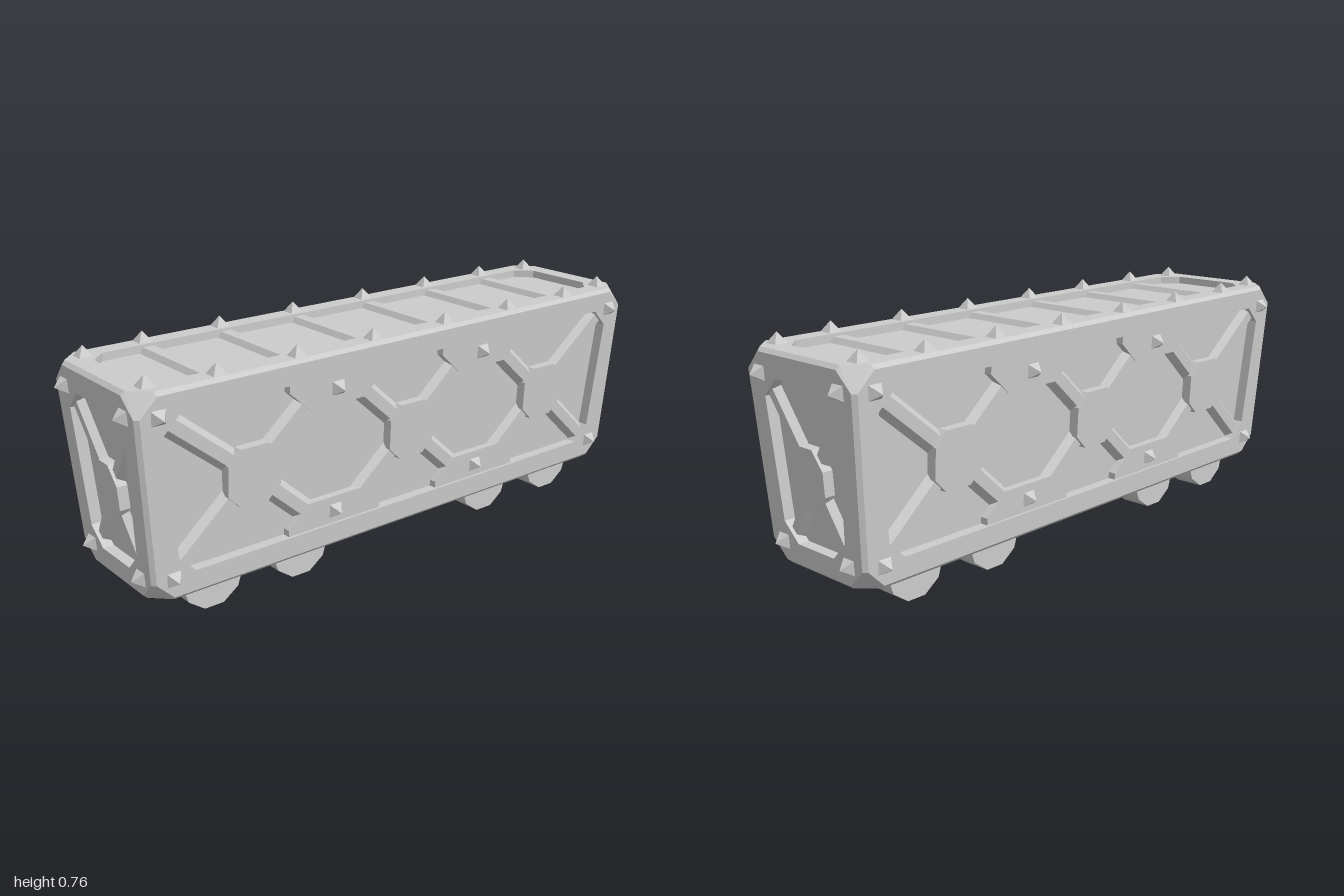
import * as THREE from 'three';
import { ConvexGeometry } from 'three/addons/geometries/ConvexGeometry.js';

const Y0 = 0.09, Y1 = 0.725, EDGE = 0.012, CUT = 0.055;
const DEPTH = 0.035, ROOF_DEPTH = 0.025;
const taper = (y) => (y - Y0) / (Y1 - Y0);
const halfW = (y) => 0.21 + 0.033 * taper(y);
const halfL = (y) => 0.93 + 0.04 * taper(y);
const V = (x, y, z) => new THREE.Vector3(x, y, z);

// Each face maps (across, up, depth below surface) to a point on the tapered body
const endFace = (u, v, d) => V(u, v, halfL(v) - d);
const sideFace = (u, v, d) => V(halfW(v) - d, v, -u);
const roofFace = (u, v, d) => V(u, Y1 - d, -v);

const mat = new THREE.MeshStandardMaterial({ color: 0xcccccc, flatShading: true });
const smooth = new THREE.MeshStandardMaterial({ color: 0xcccccc });

// Octagon with cut corners, half widths b at the bottom and t at the top
function octagon(b, t, v0, v1, k, u = 0) {
  return [[-b + k, v0], [b - k, v0], [b, v0 + k], [t, v1 - k],
    [t - k, v1], [-t + k, v1], [-t, v1 - k], [-b, v0 + k]].map(([x, y]) => [x + u, y]);
}

// Strip of wall from a to b, h is the half width
function strip([au, av], [bu, bv], h) {
  const len = Math.hypot(bu - au, bv - av);
  const pu = -(bv - av) / len * h, pv = (bu - au) / len * h;
  return [[au - pu, av - pv], [bu - pu, bv - pv], [bu + pu, bv + pv], [au + pu, av + pv]];
}

// Skins rings of [loop, depth] and caps the last one
function loft(face, rings) {
  const loops = rings.map(([loop, d]) => loop.map(([u, v]) => face(u, v, d)));
  const pts = [], n = loops[0].length;
  for (let r = 0; r + 1 < loops.length; r++) {
    for (let i = 0; i < n; i++) {
      const j = (i + 1) % n, a = loops[r], b = loops[r + 1];
      pts.push(a[i], a[j], b[j], a[i], b[j], b[i]);
    }
  }
  const cap = loops[loops.length - 1];
  for (let i = 1; i + 1 < n; i++) pts.push(cap[0], cap[i], cap[i + 1]);
  const geo = new THREE.BufferGeometry().setFromPoints(pts);
  geo.computeVertexNormals();
  return geo;
}

function add(parent, name, geo, material = mat) {
  const mesh = new THREE.Mesh(geo, material);
  mesh.name = name;
  parent.add(mesh);
  return mesh;
}

function normalOf(face, v) {
  const p = face(0, v, 0);
  return face(0.1, v, 0).sub(p).cross(face(0, v + 0.1, 0).sub(p)).normalize();
}

// Square pyramid stud standing on a face
function spike(parent, face, u, v, d = 0) {
  const geo = new THREE.ConeGeometry(0.0325, 0.035, 4);
  geo.rotateY(Math.PI / 4);
  geo.translate(0, 0.0155, 0);
  const mesh = add(parent, 'spike', geo);
  mesh.position.copy(face(u, v, d));
  mesh.quaternion.setFromUnitVectors(V(0, 1, 0), normalOf(face, v));
}

function brace(parent, face, a, b, h) {
  add(parent, 'brace', loft(face, [[strip(a, b, h), DEPTH], [strip(a, b, h * 0.5), 0.012]]));
}

const yLow = Y0 + EDGE, yHigh = Y1 - EDGE;
const outline = (half) => octagon(half(yLow + CUT) - EDGE, half(yHigh - CUT) - EDGE, yLow, yHigh, CUT);
const endOuter = outline(halfW), sideOuter = outline(halfL);
const rw = halfW(Y1) - EDGE, rl = halfL(Y1) - EDGE;
const roofOuter = octagon(rw, rw, -rl, rl, CUT);

// Bevelled edges, cut corners and floor: hull of the face outlines without the panel faces
function shellGeometry() {
  const pts = roofOuter.map(([u, v]) => roofFace(u, v, 0));
  const bw = halfW(Y0) - EDGE, bl = halfL(Y0) - EDGE;
  octagon(bw, bw, -bl, bl, CUT).forEach(([x, z]) => pts.push(V(x, Y0, z)));
  const normals = [V(0, 1, 0)];
  for (const [face, loop] of [[endFace, endOuter], [sideFace, sideOuter]]) {
    const n = normalOf(face, 0.4);
    normals.push(n, V(-n.x, n.y, -n.z));
    for (const [u, v] of loop) {
      const p = face(u, v, 0);
      pts.push(p, V(-p.x, p.y, -p.z));
    }
  }
  const pos = new ConvexGeometry(pts).getAttribute('position');
  const kept = [], tri = new THREE.Triangle(), n = V(0, 0, 0);
  for (let i = 0; i < pos.count; i += 3) {
    tri.setFromAttributeAndIndices(pos, i, i + 1, i + 2);
    tri.getNormal(n);
    if (!normals.some((m) => m.dot(n) > 0.995)) kept.push(tri.a.clone(), tri.b.clone(), tri.c.clone());
  }
  const geo = new THREE.BufferGeometry().setFromPoints(kept);
  geo.computeVertexNormals();
  return geo;
}

function endPanel() {
  const g = new THREE.Group();
  const hole = octagon(0.137, 0.16, 0.165, 0.645, 0.057);
  add(g, 'endFrame', loft(endFace, [[endOuter, 0], [hole, 0], [hole, DEPTH]]));
  const hub = octagon(0.067, 0.067, 0.283, 0.467, 0.04)
    .map(([u, v]) => [u, Math.abs(u) > 0.05 ? 0.375 + (v - 0.375) * 0.7 : v]);
  add(g, 'endHub', loft(endFace, [[hub, DEPTH], [hub, 0.002]]));
  for (const s of [-1, 1]) {
    brace(g, endFace, [0, 0.375], [s * 0.155, 0.61], 0.026);
    brace(g, endFace, [0, 0.375], [s * 0.117, 0.185], 0.026);
    spike(g, endFace, s * 0.174, 0.653);
    spike(g, endFace, s * 0.147, 0.16);
  }
  return g;
}

function sidePanel() {
  const g = new THREE.Group(), hubY = 0.406;
  const hole = octagon(0.85, 0.885, 0.166, 0.652, 0.055);
  add(g, 'sideFrame', loft(sideFace, [[sideOuter, 0], [hole, 0], [hole, DEPTH]]));
  for (const u of [-0.594, 0, 0.594]) {
    const hub = octagon(0.09, 0.09, hubY - 0.091, hubY + 0.091, 0.043, u);
    add(g, 'sideHub', loft(sideFace, [[hub, DEPTH], [hub, 0.002]]));
  }
  for (const s of [-1, 1]) {
    // Tabs that carry the middle spikes
    const c = s * 0.295;
    const upper = [[c - 0.1, 0.557], [c + 0.1, 0.557], [c + 0.175, 0.625],
      [c + 0.175, 0.66], [c - 0.175, 0.66], [c - 0.175, 0.625]];
    const lower = upper.map(([u, v]) => [u, 0.812 - v]).reverse();
    for (const tab of [upper, lower]) add(g, 'spikeTab', loft(sideFace, [[tab, DEPTH], [tab, 0.009]]));
    spike(g, sideFace, c, 0.608, 0.009);
    spike(g, sideFace, c, 0.207, 0.009);
    // Diagonal braces
    for (const y of [0.6, 0.212]) {
      brace(g, sideFace, [0, hubY], [s * 0.215, y], 0.036);
      brace(g, sideFace, [s * 0.594, hubY], [s * 0.379, y], 0.036);
    }
    brace(g, sideFace, [s * 0.594, hubY], [s * 0.86, 0.625], 0.036);
    brace(g, sideFace, [s * 0.594, hubY], [s * 0.83, 0.19], 0.036);
    spike(g, sideFace, s * 0.898, 0.653);
    spike(g, sideFace, s * 0.867, 0.16);
  }
  return g;
}

function roof() {
  const g = new THREE.Group();
  g.name = 'roof';
  const hole = octagon(0.17, 0.17, -0.895, 0.895, 0.05);
  add(g, 'roofFrame', loft(roofFace, [[roofOuter, 0], [hole, 0], [hole, ROOF_DEPTH]]));
  for (const v of [-0.695, -0.425, -0.145, 0.145, 0.425, 0.695]) {
    const a = [-0.17, v], b = [0.17, v];
    add(g, 'roofRib', loft(roofFace, [[strip(a, b, 0.03), ROOF_DEPTH], [strip(a, b, 0.018), 0.008]]));
    for (const s of [-1, 1]) spike(g, roofFace, s * 0.205, v);
  }
  for (const u of [-0.178, 0.178]) for (const v of [-0.9, 0.9]) spike(g, roofFace, u, v);
  return g;
}

export function createModel() {
  const model = new THREE.Group();
  add(model, 'bodyEdges', shellGeometry());
  model.add(roof());
  // Matching panels on opposite sides
  for (const [name, build] of [['endPanel', endPanel], ['sidePanel', sidePanel]]) {
    for (const turn of [0, Math.PI]) {
      const panel = build();
      panel.name = name;
      panel.rotation.y = turn;
      model.add(panel);
    }
  }
  // Wheels, half sunk in the body
  const wheelGeo = new THREE.CylinderGeometry(0.105, 0.105, 0.102, 10).rotateZ(Math.PI / 2);
  for (const x of [-0.108, 0.108]) {
    for (const z of [-0.71, -0.395, 0.395, 0.71]) {
      add(model, 'wheel', wheelGeo, smooth).position.set(x, 0.1, z);
    }
  }
  return model;
}
